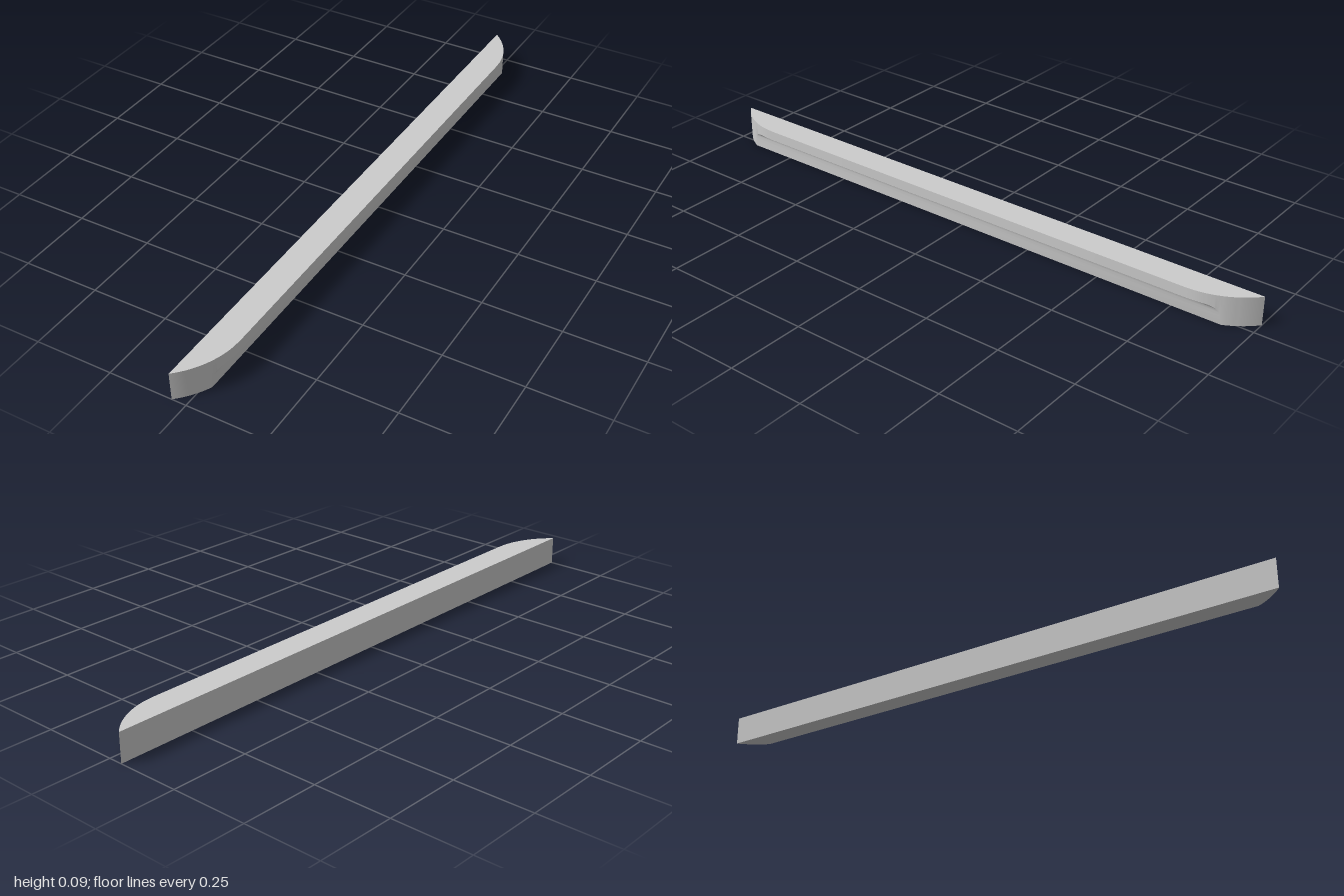
import * as THREE from 'three';
import { toCreasedNormals } from 'three/addons/utils/BufferGeometryUtils.js';

const BACK = -0.046, LIP = 0.046, TOP = 0.093;
const ARC_START = 0.8; // z where the rounded ends begin

// Plan outline: half length of the bar at a given x (circular end arc)
const W = LIP - BACK, L = 1 - ARC_START;
const R = (W * W + L * L) / (2 * W);
function halfLength(x) {
  const d = R - (LIP - x);
  return ARC_START + Math.sqrt(Math.max(0, R * R - d * d));
}

// Underside from the flat back, along the base, then up the finger groove to the lip
function undersidePoints() {
  const points = [];
  for (let i = 0; i <= 12; i++) points.push(new THREE.Vector2(THREE.MathUtils.lerp(BACK, 0.022, i / 12), 0));
  const groove = new THREE.CubicBezierCurve(
    new THREE.Vector2(0.0245, 0.03), new THREE.Vector2(0.0265, 0.052),
    new THREE.Vector2(0.033, 0.058), new THREE.Vector2(LIP, 0.0605));
  return points.concat(groove.getPoints(20));
}

// Loft of rectangular sections stepping across the width
function barGeometry() {
  const position = [], index = [];
  const sections = undersidePoints();
  sections.forEach((p, i) => {
    const z = halfLength(p.x);
    position.push(p.x, p.y, z, p.x, p.y, -z, p.x, TOP, -z, p.x, TOP, z);
    if (i === 0) return;
    for (let k = 0; k < 4; k++) {
      const a = (i - 1) * 4 + k, b = (i - 1) * 4 + (k + 1) % 4;
      index.push(a, b, b + 4, a, b + 4, a + 4);
    }
  });
  // Flat back face and lip face
  const n = (sections.length - 1) * 4;
  index.push(0, 2, 1, 0, 3, 2, n, n + 1, n + 2, n, n + 2, n + 3);
  const geometry = new THREE.BufferGeometry();
  geometry.setAttribute('position', new THREE.Float32BufferAttribute(position, 3));
  geometry.setIndex(index);
  return toCreasedNormals(geometry, Math.PI / 6);
}

export function createModel() {
  const group = new THREE.Group();
  group.name = 'pullHandle';
  const bar = new THREE.Mesh(barGeometry(), new THREE.MeshStandardMaterial({ color: 0xcccccc }));
  bar.name = 'groovedBar';
  group.add(bar);
  return group;
}
